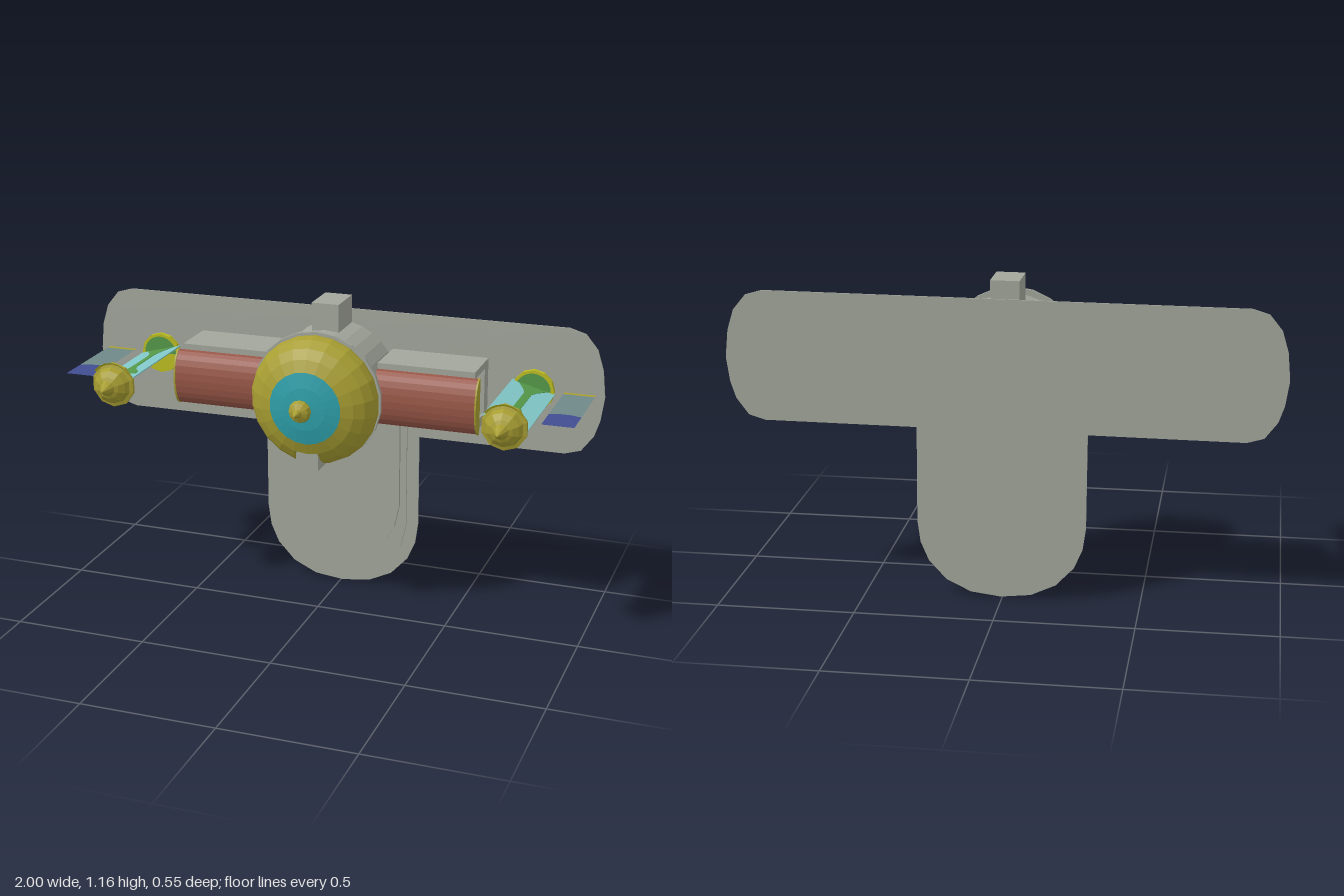
import * as THREE from 'three';

const mat = (name, color) => {
  const m = new THREE.MeshStandardMaterial({ color, side: THREE.DoubleSide, flatShading: true });
  m.name = name;
  return m;
};

export function createModel() {
  const gray = mat('hull gray', 0xa2a69b);
  const gold = mat('gold', 0xa89e32);
  const lime = mat('yellow', 0xbcbc22);
  const red = mat('brick red', 0x985647);
  const teal = mat('teal', 0x2ea0aa);
  const pale = mat('pale cyan', 0x80c6c8);
  const green = mat('green', 0x559848);
  const blue = mat('blue', 0x404d90);
  const slate = mat('slate', 0x6f8888);

  const model = new THREE.Group();
  model.name = 'model';
  // the upper body leans very slightly about its centre
  const body = new THREE.Group();
  body.name = 'body';
  body.rotation.z = 0.007;
  body.position.set(0.006, 0, 0);
  model.add(body);

  const add = (name, geo, material, x = 0, y = 0, z = 0) => {
    const m = new THREE.Mesh(geo, material);
    m.name = name;
    m.position.set(x, y, z);
    body.add(m);
    return m;
  };
  const box = (name, material, x0, x1, y0, y1, z0, z1) =>
    add(name, new THREE.BoxGeometry(Math.abs(x1 - x0), y1 - y0, z1 - z0), material,
      (x0 + x1) / 2, (y0 + y1) / 2, (z0 + z1) / 2);
  // lathe about the z axis, points are [radius, z]
  const turned = (pts, n) =>
    new THREE.LatheGeometry(pts.map(p => new THREE.Vector2(...p)), n).rotateX(Math.PI / 2);
  const outline = pts => new THREE.Shape(pts.map(p => new THREE.Vector2(...p)));
  const slab = (shape, depth) => new THREE.ExtrudeGeometry(shape, { depth, bevelEnabled: false });
  const mirrored = half => [...half, ...half.slice().reverse().filter(p => p[0] !== 0).map(([x, y]) => [-x, y])];

  // T-shaped back plate
  add('backPlate', slab(outline(mirrored([
    [0, 0.004], [0.11, 0.017], [0.2, 0.06], [0.265, 0.13], [0.295, 0.2], [0.306, 0.28], [0.306, 0.632],
    [0.86, 0.632], [0.92, 0.65], [0.965, 0.71], [0.985, 0.77], [0.998, 0.86],
    [0.988, 0.96], [0.965, 1.035], [0.92, 1.09], [0.86, 1.108],
  ])), 0.006), gray, 0, 0, -0.275);

  // raised steps on the tongue
  [[0.26, 0.05, -0.262], [0.235, 0.13, -0.25]].forEach(([w, y0, z]) => {
    const h = 0.22;
    const step = mirrored([[0, y0], [w * 0.4, y0 + h * 0.06], [w * 0.72, y0 + h * 0.25],
      [w * 0.92, y0 + h * 0.6], [w, y0 + h], [w, 0.72]]);
    add('tongueStep', slab(outline(step), z + 0.272), gray, 0, 0, -0.272);
  });

  // central barrel, open underneath
  const cy = 0.847;
  const gap = Math.acos(0.137 / 0.222);
  add('barrel', new THREE.CylinderGeometry(0.222, 0.222, 0.25, 22, 1, true, gap, Math.PI * 2 - 2 * gap)
    .rotateX(Math.PI / 2).rotateZ(0), gray, 0, cy, -0.12);
  add('barrelCollar', turned([[0.222, 0], [0.246, 0], [0.246, 0.015], [0.222, 0.015]], 22), gray, 0, cy, 0);
  box('topBox', gray, -0.056, 0.048, 1.05, 1.168, -0.245, -0.095);
  box('bottomBox', gray, -0.05, 0.05, 0.645, 0.71, -0.268, -0.168);
  box('bottomBoxHanger', gray, -0.12, 0.12, 0.705, 0.715, -0.268, 0);

  // dome, lens and knob
  add('dome', turned([[0.238, 0.005], [0.241, 0.03], [0.235, 0.06], [0.212, 0.095],
    [0.178, 0.12], [0.135, 0.138]], 22), gold, 0, 0.842, 0);
  add('domeLens', turned([[0.136, 0.137], [0.08, 0.148], [0, 0.154]], 22), teal, 0, 0.842, 0);
  add('knob', turned([[0.02, 0.145], [0.02, 0.165], [0.038, 0.178], [0.042, 0.19], [0.036, 0.205],
    [0.016, 0.215], [0.012, 0.23], [0, 0.255]], 12), gold, 0, 0.848, 0);
  // gray roof strip at the top of the dome
  add('domeRoof', new THREE.CylinderGeometry(0.224, 0.224, 0.04, 8, 1, true, Math.PI - 0.62, 1.24)
    .rotateX(Math.PI / 2), gray, 0, cy, 0.015);
  // small arched foot below the dome
  const foot = new THREE.Shape();
  foot.moveTo(-0.042, 0.602);
  foot.lineTo(0.042, 0.602);
  foot.lineTo(0.042, 0.655);
  foot.absarc(0, 0.655, 0.042, 0, Math.PI, false);
  add('domeFoot', slab(foot, 0.1), gray, 0, 0, 0.02);

  for (const s of [1, -1]) {
    // wing box: floor, roof, front wall and an end wall with a window
    box('wingRoof', gray, s * 0.2, s * 0.565, 0.958, 0.968, -0.27, -0.085);
    box('wingFloor', gray, s * 0.2, s * 0.565, 0.735, 0.745, -0.27, -0.085);
    box('wingFront', gray, s * 0.2, s * 0.565, 0.735, 0.968, -0.092, -0.084);
    const end = outline([[0.085, 0.735], [0.27, 0.735], [0.27, 0.968], [0.085, 0.968]]);
    end.holes.push(outline([[0.105, 0.77], [0.22, 0.77], [0.22, 0.942], [0.105, 0.942]]));
    add('wingEnd', slab(end, 0.008).rotateY(Math.PI / 2), gray, s * 0.561 - 0.004, 0, 0);
    box('wingCore', red, s * 0.22, s * 0.53, 0.78, 0.93, -0.21, -0.11);
    box('wingCoreBand', gray, s * 0.22, s * 0.534, 0.85, 0.9, -0.212, -0.108);

    // bowed front cover with a gold end rim
    const bow = (name, material, x, len, h, d) => {
      const g = new THREE.CylinderGeometry(1, 1, len, 12, 1, false, -Math.PI / 2, Math.PI)
        .rotateZ(Math.PI / 2).scale(1, h, d);
      add(name, g, material, s * x, 0.842, -0.084);
    };
    bow('wingCover', red, 0.39, 0.38, 0.104, 0.054);
    bow('wingCoverRim', gold, 0.582, 0.006, 0.107, 0.058);

    // pod: rear disc, tilted vane with green inlay, and nose
    const px = s * 0.738, py = 0.866;
    add('podDisc', new THREE.CylinderGeometry(0.078, 0.078, 0.018, 12).rotateX(Math.PI / 2), lime, px, py, -0.26);
    add('podDiscInlay', new THREE.CircleGeometry(0.066, 12, 0, Math.PI), green, px, py, -0.249);
    const vane = add('podVane', new THREE.BoxGeometry(0.165, 0.004, 0.425), pale, px, py + 0.012, -0.05);
    vane.rotation.z = -s * 0.26;
    const inlay = mirrored([[0, 0.09], [0.035, 0.095], [0.064, 0.11], [0.06, 0.075], [0.03, 0.035],
      [0.014, -0.01], [0.014, -0.17], [0.025, -0.2], [0.055, -0.25]]);
    const ig = slab(outline(inlay), 0.007).translate(0, 0, -0.0035).rotateX(Math.PI / 2);
    add('podVaneInlay', ig, green, px, py + 0.012, 0).rotation.z = -s * 0.26;
    add('podNose', turned([[0, 0.16], [0.084, 0.16], [0.084, 0.172], [0.07, 0.176], [0.062, 0.198],
      [0.042, 0.214], [0.028, 0.22], [0.022, 0.235], [0, 0.272]], 10), gold, px, py, 0);
    // bright scoop on top of the nose
    add('podNoseScoop', new THREE.CylinderGeometry(0.086, 0.072, 0.014, 6, 1, true, Math.PI - 0.95, 1.9)
      .rotateX(Math.PI / 2), lime, px, py, 0.174);

    // outer fin: slate plate, blue tip, gold root
    const fin = (name, pts, material, lift) => {
      const g = new THREE.ShapeGeometry(outline(pts)).rotateX(Math.PI / 2);
      add(name, g, material, s * 0.908, py + lift, 0);
    };
    fin('finPlate', [[-0.058, -0.25], [0, -0.25], [0.058, -0.25], [0.058, -0.015], [0.02, 0.022 - 0.05],
      [-0.02, -0.028], [-0.058, -0.015]].map(([x, z]) => [x, z]), slate, 0);
    fin('finTip', [[-0.058, -0.015], [-0.02, -0.028], [0.02, -0.028], [0.058, -0.015],
      [0.058, 0.1], [-0.058, 0.1]], blue, 0);
    fin('finRoot', [[-0.058, -0.272], [0.058, -0.272], [0.058, -0.25], [-0.058, -0.25]], gold, 0);
  }
  return model;
}
